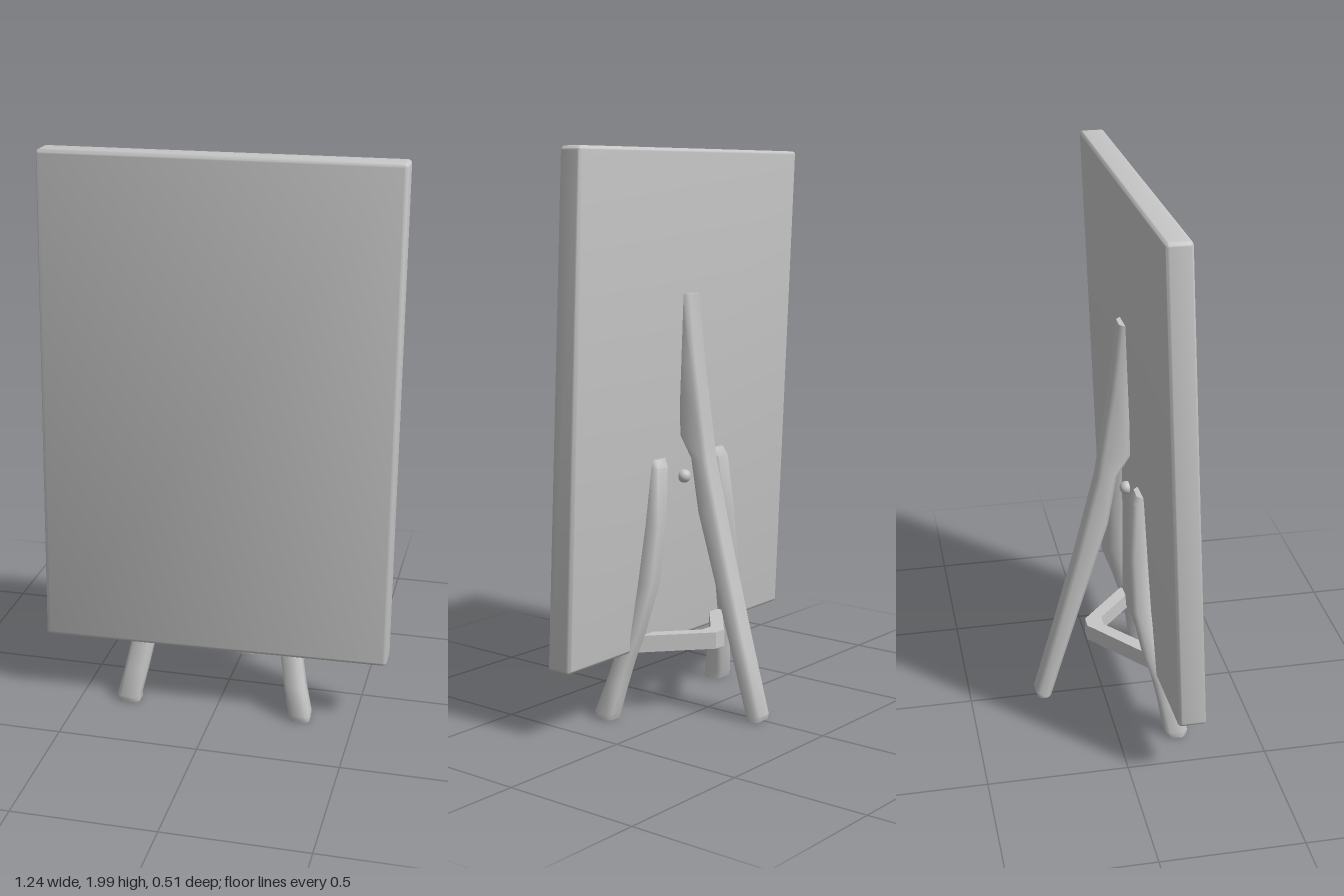
import * as THREE from 'three';
import { toCreasedNormals } from 'three/addons/utils/BufferGeometryUtils.js';
import { RoundedBoxGeometry } from 'three/addons/geometries/RoundedBoxGeometry.js';

const grey = new THREE.MeshStandardMaterial({ color: 0xc6c6c6 });
grey.name = 'plain grey';

// Bar lofted downwards through level sections [xMin, xMax, y, zBack, zFront] with bevelled corners
function loft(sections, bevel = 0.014) {
  const positions = [], index = [], n = 8;
  for (const [x0, x1, y, z0, z1] of sections) {
    const b = bevel;
    const ring = [
      [x1, z1 - b], [x1, z0 + b], [x1 - b, z0], [x0 + b, z0],
      [x0, z0 + b], [x0, z1 - b], [x0 + b, z1], [x1 - b, z1],
    ];
    for (const [x, z] of ring) positions.push(x, y, z);
  }
  const last = (sections.length - 1) * n;
  for (let i = 0; i < last; i += n) {
    for (let j = 0; j < n; j++) {
      const k = (j + 1) % n;
      index.push(i + j, i + n + j, i + n + k, i + j, i + n + k, i + k);
    }
  }
  for (let j = 1; j < n - 1; j++) {
    index.push(0, j, j + 1, last, last + j + 1, last + j);
  }
  const geo = new THREE.BufferGeometry();
  geo.setAttribute('position', new THREE.Float32BufferAttribute(positions, 3));
  geo.setIndex(index);
  return toCreasedNormals(geo, 0.85);
}

export function createModel() {
  const group = new THREE.Group();
  const add = (name, geo) => {
    const mesh = new THREE.Mesh(geo, grey);
    mesh.name = name;
    group.add(mesh);
    return mesh;
  };

  // Board: leans back, is turned slightly and thins towards the top
  const board = new RoundedBoxGeometry(1.235, 1.75, 0.095, 3, 0.014);
  const p = board.attributes.position;
  for (let i = 0; i < p.count; i++) {
    const x = p.getX(i), y = p.getY(i);
    const thickness = 1 - 0.06 * y;
    p.setZ(i, p.getZ(i) * thickness + 0.138 - 0.049 * y - 0.029 * x);
  }
  board.translate(-0.007, 1.125, 0);
  board.computeVertexNormals();
  add('board', toCreasedNormals(board, 0.7));

  // Rear leg: curves away from the back of the board
  const rear = [
    [1.5, 0.055, 0.1], [1.25, 0.028, 0.11], [1.0, -0.01, 0.1], [0.92, -0.022, 0.05],
    [0.73, -0.068, 0.018], [0.6, -0.1, -0.022], [0.3, -0.18, -0.113],
    [0.03, -0.256, -0.194], [0.01, -0.25, -0.2],
  ];
  add('rearLeg', loft(rear.map(([y, back, front]) => [-0.035, 0.047, y, back, front])));

  // Front legs: bowed out behind the board, splayed forwards below it
  const front = [
    [0.155, 0.93, 0.085, 0.13], [0.162, 0.9, 0.07, 0.13], [0.185, 0.7, 0.058, 0.13],
    [0.217, 0.5, 0.063, 0.135], [0.25, 0.32, 0.1, 0.165], [0.268, 0.22, 0.132, 0.195],
    [0.285, 0.13, 0.152, 0.22], [0.308, 0.03, 0.168, 0.25], [0.308, 0.008, 0.176, 0.244],
  ];
  for (const side of [1, -1]) {
    const wide = side > 0 ? 0.037 : 0.041;
    const shift = side > 0 ? 0 : -0.016;
    add(side > 0 ? 'leftFrontLeg' : 'rightFrontLeg', loft(front.map(([x, y, back, f]) => {
      const cx = side * x + shift;
      return [cx - wide, cx + wide, y, back, f];
    })));
  }

  // Brace: V-shaped bar joining the front legs behind the board
  const outline = [
    [-0.27, 0.145], [-0.04, -0.04], [-0.02, -0.058], [0.03, -0.058], [0.05, -0.04],
    [0.25, 0.14], [0.18, 0.14], [0.03, 0.004], [-0.02, 0.004], [-0.19, 0.145],
  ];
  const brace = new THREE.ExtrudeGeometry(
    new THREE.Shape(outline.map(([x, z]) => new THREE.Vector2(x, z))),
    { depth: 0.06, bevelEnabled: false });
  brace.rotateX(Math.PI / 2);
  brace.translate(0, 0.303, 0);
  add('brace', brace);

  // Small peg on the back of the board
  const peg = add('peg', new THREE.SphereGeometry(0.024, 16, 12));
  peg.position.set(0.02, 0.85, 0.093);

  return group;
}
